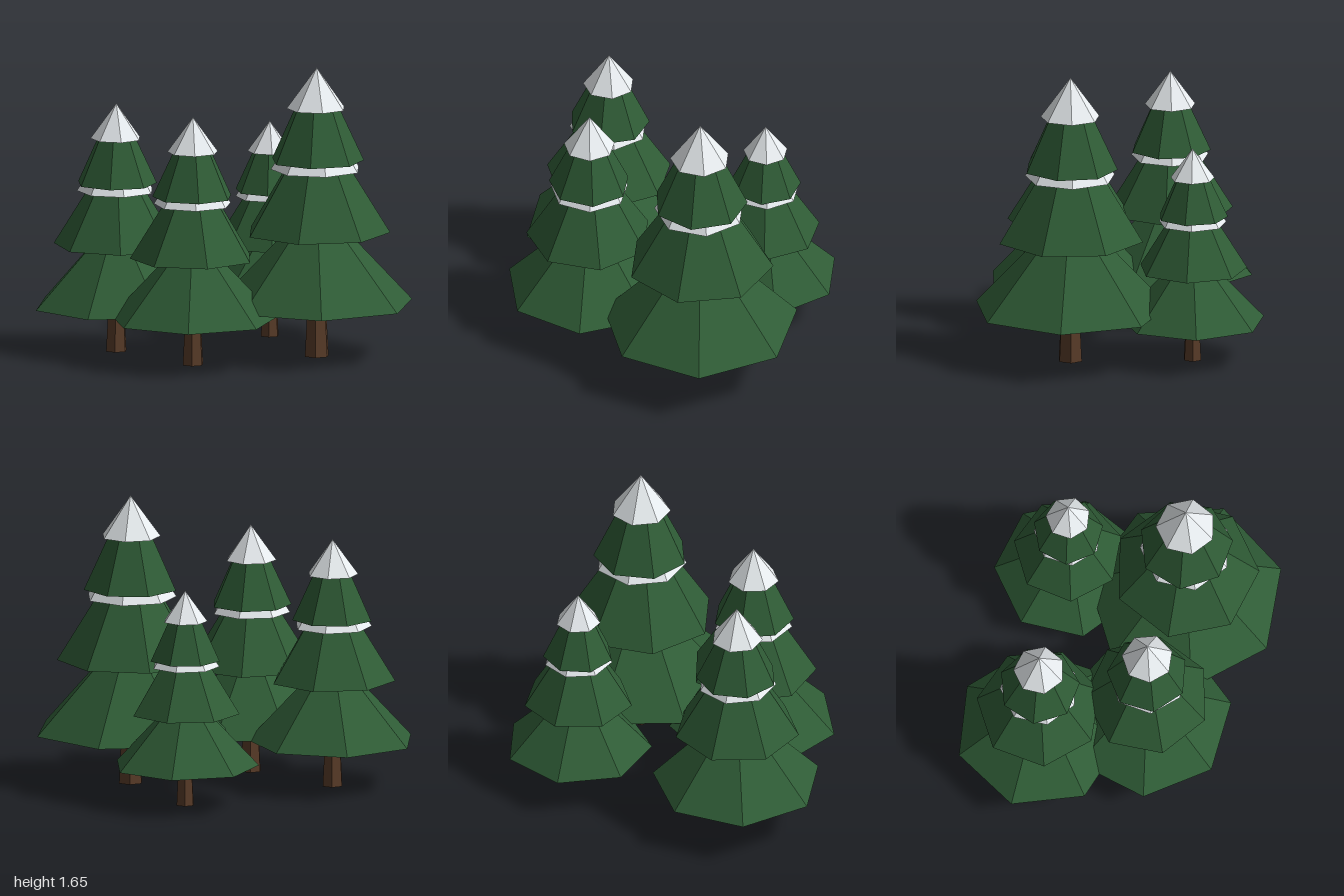
import * as THREE from 'three';

const mat = (color) => new THREE.MeshStandardMaterial({ color, flatShading: true });

export function createModel() {
  const green = mat(0x2f5c36), snow = mat(0xe8edf0), bark = mat(0x5a3d29);

  // Tapered ring; turn is the angle of its first corner, in degrees from +x towards +z
  function frustum(name, material, sides, y0, r0, y1, r1, turn) {
    const geo = new THREE.CylinderGeometry(r1, r0, y1 - y0, sides);
    geo.rotateY(THREE.MathUtils.degToRad(-90 - turn + 180));
    geo.translate(0, (y0 + y1) / 2, 0);
    const mesh = new THREE.Mesh(geo, material);
    mesh.name = name;
    return mesh;
  }

  function makeTree(name, x, z, scale, [low, mid, high, top]) {
    const tree = new THREE.Group();
    tree.name = name;
    tree.add(
      frustum('trunk', bark, 6, 0, 0.073, 0.34, 0.055, 0),
      // Branch tiers
      frustum('lowerBranches', green, 7, 0.30, 0.56, 0.76, 0.13, low),
      frustum('middleBranches', green, 7, 0.71, 0.416, 1.15, 0.145, mid),
      frustum('upperBranches', green, 7, 1.12, 0.268, 1.46, 0.11, high),
      // Snow under the tiers and on the tip
      frustum('lowerSnow', snow, 7, 0.706, 0.375, 0.76, 0.32, mid),
      frustum('upperSnow', snow, 7, 1.07, 0.26, 1.15, 0.209, top),
      frustum('snowCap', snow, 7, 1.42, 0.17, 1.655, 0, top)
    );
    tree.position.set(x, 0, z);
    tree.scale.setScalar(scale);
    return tree;
  }

  const group = new THREE.Group();
  group.name = 'treeCluster';
  group.add(
    makeTree('frontLeftTree', 0.44, 0.285, 1, [8.6, 25.7, 19, 0]),
    makeTree('frontRightTree', -0.31, 0.247, 0.858, [14.6, -2, 3, 7]),
    makeTree('backRightTree', -0.525, -0.33, 0.858, [31, 7.5, 20, 0]),
    makeTree('backLeftTree', 0.46, -0.405, 0.746, [0, 9, 15, 5])
  );
  return group;
}
